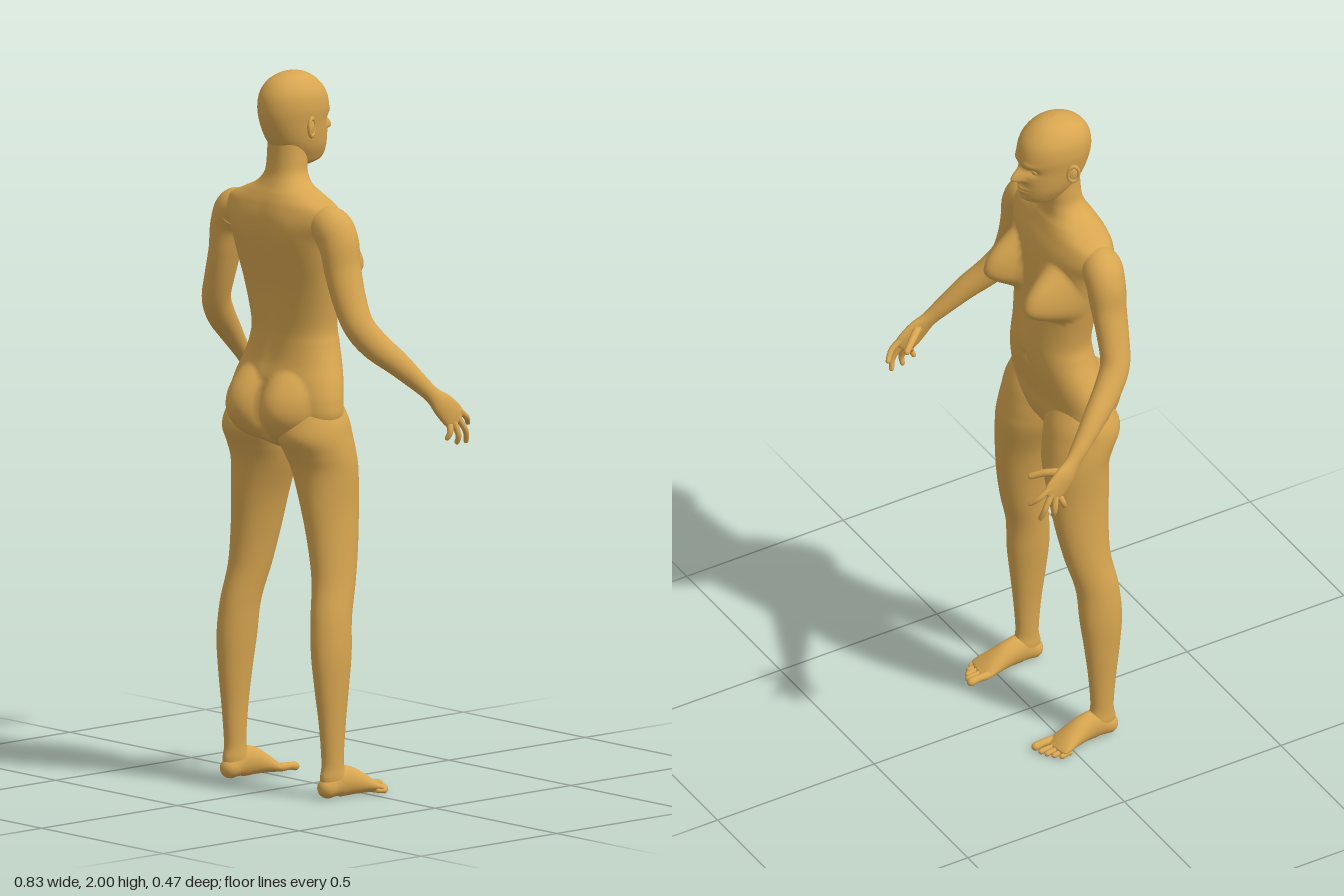
import * as THREE from 'three';

const V = (x, y, z) => new THREE.Vector3(x, y, z);
const skin = new THREE.MeshStandardMaterial({ color: 0xd8a650 });
skin.name = 'ochre skin';

// Catmull-Rom blend through rows of numbers, t from 0 to 1
function sample(rows, t) {
  const f = t * (rows.length - 1), i = Math.min(Math.floor(f), rows.length - 2), u = f - i;
  const at = k => rows[Math.max(0, Math.min(rows.length - 1, k))];
  const [a, b, c, d] = [at(i - 1), at(i), at(i + 1), at(i + 2)];
  return b.map((_, k) => 0.5 * (2 * b[k] + (c[k] - a[k]) * u
    + (2 * a[k] - 5 * b[k] + 4 * c[k] - d[k]) * u * u
    + (3 * b[k] - a[k] - 3 * c[k] + d[k]) * u * u * u));
}

// Closed smooth skin over a list of rings, faces turned outwards
function skinRings(rings) {
  const n = rings[0].length, m = rings.length;
  const pts = rings.flat();
  for (const r of [rings[0], rings[m - 1]]) {
    pts.push(r.reduce((s, p) => s.add(p), V(0, 0, 0)).divideScalar(n));
  }
  const idx = [];
  for (let j = 0; j < n; j++) {
    const k = (j + 1) % n;
    for (let i = 0; i < m - 1; i++) {
      const a = i * n + j, b = i * n + k;
      idx.push(a, b, b + n, a, b + n, a + n);
    }
    idx.push(m * n, k, j, m * n + 1, (m - 1) * n + j, (m - 1) * n + k);
  }
  let volume = 0;
  for (let i = 0; i < idx.length; i += 3) {
    volume += pts[idx[i]].dot(V(0, 0, 0).crossVectors(pts[idx[i + 1]], pts[idx[i + 2]]));
  }
  if (volume < 0) idx.reverse();
  const g = new THREE.BufferGeometry().setFromPoints(pts);
  g.setIndex(idx);
  g.computeVertexNormals();
  return g;
}

// Level ellipses from rows [y, centre x, half width, front z, back z], shaped by a rule
function levels(rows, steps, sides, shape = () => {}, power = 1) {
  const bend = c => Math.sign(c) * Math.abs(c) ** power;
  const rings = [];
  for (let i = 0; i <= steps; i++) {
    const [y, cx, w, zf, zb] = sample(rows, i / steps);
    rings.push(Array.from({ length: sides }, (_, j) => {
      const a = (j / sides) * Math.PI * 2, s = Math.sin(a);
      const p = V(cx + w * bend(Math.cos(a)), y, (zf + zb) / 2 + (zb - zf) / 2 * bend(s));
      shape(p, s);
      return p;
    }));
  }
  return skinRings(rings);
}

// Round-ended limb along rows [x, y, z, thin radius, wide radius]
function limb(rows, steps = 10, sides = 14) {
  const rings = [];
  const pos = t => V(...sample(rows, t).slice(0, 3));
  const ring = (t, cap) => {
    const [x, y, z, ru, rv] = sample(rows, t);
    const dir = pos(Math.min(1, t + 0.01)).sub(pos(Math.max(0, t - 0.01))).normalize();
    const wide = V(0, 0.7, -0.7);
    wide.addScaledVector(dir, -wide.dot(dir)).normalize();
    const thin = V(0, 0, 0).crossVectors(dir, wide);
    const c = V(x, y, z).addScaledVector(dir, Math.sin(cap) * Math.min(ru, rv));
    rings.push(Array.from({ length: sides }, (_, j) => {
      const a = (j / sides) * Math.PI * 2, k = Math.cos(cap);
      return c.clone().addScaledVector(thin, Math.cos(a) * ru * k).addScaledVector(wide, Math.sin(a) * rv * k);
    }));
  };
  for (const c of [-1.45, -1.1, -0.75, -0.4]) ring(0, c);
  for (let i = 0; i <= steps; i++) ring(i / steps, 0);
  for (const c of [0.4, 0.75, 1.1, 1.45]) ring(1, c);
  return skinRings(rings);
}

const bump = (x, y, cx, cy, sx, sy) => Math.exp(-(((x - cx) / sx) ** 2) - ((y - cy) / sy) ** 2);
const dome = (dx, dy, e) => Math.max(0, 1 - dx * dx - dy * dy) ** e;

// Chest, belly, seat and back relief on the trunk
function shapeTrunk(p, s) {
  const x = Math.abs(p.x), y = p.y;
  if (s < 0) {
    const chest = dome((x - 0.105) / 0.069, (y - 1.455) / (y > 1.455 ? 0.12 : 0.066), 1.25);
    p.z -= 0.094 * chest;
    p.x += Math.sign(p.x) * 0.008 * chest;
    p.z += 0.01 * bump(x, y, 0, 1.215, 0.01, 0.012) + 0.006 * bump(x, y, 0, 1.34, 0.015, 0.07);
  } else {
    p.z += 0.048 * dome((x - 0.078) / 0.085, (y - 1.07) / 0.11, 1);
    p.z -= 0.02 * bump(x, y, 0, 1.05, 0.014, 0.06) + 0.011 * bump(x, y, 0, 1.4, 0.025, 0.17);
    p.z += 0.006 * bump(x, y, 0.1, 1.56, 0.05, 0.06);
  }
}

// Nose, eye sockets, brow, lips and chin
function shapeFace(p, s) {
  if (s >= 0) return;
  const x = Math.abs(p.x), y = p.y;
  const bridge = y > 1.83 ? 1 - THREE.MathUtils.smoothstep(y, 1.83, 1.885) : THREE.MathUtils.smoothstep(y, 1.813, 1.83);
  p.z -= 0.034 * bridge * Math.exp(-((x / (0.009 + 0.006 * bridge)) ** 2));
  p.z += 0.014 * bump(x, y, 0.032, 1.86, 0.017, 0.011);
  p.z -= 0.005 * bump(x, y, 0.03, 1.884, 0.025, 0.009);
  p.z -= 0.01 * bump(x, y, 0, 1.793, 0.021, 0.011);
  p.z += 0.006 * bump(x, y, 0, 1.793, 0.022, 0.003);
  p.z -= 0.007 * bump(x, y, 0, 1.763, 0.02, 0.012);
}

export function createModel() {
  const model = new THREE.Group();
  model.name = 'figure';
  const add = (name, geometry) => {
    const mesh = new THREE.Mesh(geometry, skin);
    mesh.name = name;
    model.add(mesh);
  };
  // Left part at +x and its mirror image
  const pair = (name, geometry) => {
    add(name + 'Left', geometry);
    const other = geometry.clone().scale(-1, 1, 1);
    other.setIndex(Array.from(geometry.index.array).reverse());
    other.computeVertexNormals();
    add(name + 'Right', other);
  };

  // Trunk with neck
  add('trunk', levels([
    [0.955, 0, 0.03, 0.07, 0.12], [0.975, 0, 0.08, 0.04, 0.16], [1.0, 0, 0.15, 0.02, 0.18],
    [1.05, 0, 0.198, 0.005, 0.193], [1.1, 0, 0.2, 0, 0.193], [1.15, 0, 0.187, -0.01, 0.183],
    [1.2, 0, 0.167, -0.018, 0.166], [1.25, 0, 0.149, -0.022, 0.158], [1.3, 0, 0.141, -0.02, 0.158],
    [1.4, 0, 0.158, -0.008, 0.17], [1.48, 0, 0.174, -0.005, 0.188], [1.55, 0, 0.188, 0, 0.2],
    [1.6, 0, 0.208, 0.01, 0.2], [1.64, 0, 0.196, 0.025, 0.19], [1.667, 0, 0.14, 0.035, 0.178],
    [1.69, 0, 0.09, 0.044, 0.165], [1.72, 0, 0.063, 0.046, 0.153], [1.76, 0, 0.057, 0.045, 0.148],
    [1.82, 0, 0.055, 0.05, 0.145],
  ], 150, 96, shapeTrunk, 0.92));

  // Head with face
  add('head', levels([
    [1.738, 0, 0.028, 0.02, 0.08], [1.748, 0, 0.04, -0.012, 0.1], [1.765, 0, 0.05, -0.026, 0.12],
    [1.79, 0, 0.062, -0.03, 0.14], [1.82, 0, 0.07, -0.031, 0.16], [1.86, 0, 0.076, -0.031, 0.176],
    [1.9, 0, 0.081, -0.034, 0.182], [1.94, 0, 0.077, -0.023, 0.175], [1.972, 0, 0.06, 0.003, 0.152],
    [1.992, 0, 0.034, 0.035, 0.115], [2.0, 0, 0.003, 0.07, 0.077],
  ], 110, 112, shapeFace, 0.95));

  // Eyes
  pair('eye', new THREE.SphereGeometry(0.012, 16, 12).translate(0.032, 1.86, -0.003));

  // Ears: a flat shell with a raised rim
  pair('ear', new THREE.SphereGeometry(1, 16, 12).scale(0.008, 0.024, 0.016).rotateY(0.35).translate(0.083, 1.852, 0.083));
  pair('earRim', new THREE.TorusGeometry(0.018, 0.005, 8, 24).scale(0.85, 1.35, 1)
    .rotateY(Math.PI / 2 + 0.35).translate(0.088, 1.853, 0.084));

  // Legs
  pair('leg', levels([
    [1.12, 0.1, 0.07, 0.03, 0.15], [1.05, 0.108, 0.095, 0, 0.188], [1.0, 0.112, 0.101, -0.012, 0.203],
    [0.95, 0.118, 0.098, -0.02, 0.18], [0.9, 0.125, 0.09, -0.025, 0.162], [0.8, 0.143, 0.069, -0.02, 0.155],
    [0.7, 0.158, 0.058, -0.008, 0.147], [0.6, 0.172, 0.052, 0.012, 0.146], [0.5, 0.186, 0.049, 0.038, 0.163],
    [0.4, 0.194, 0.046, 0.045, 0.17], [0.3, 0.198, 0.038, 0.057, 0.162], [0.2, 0.2, 0.03, 0.068, 0.15],
    [0.1, 0.2, 0.026, 0.074, 0.142], [0.06, 0.2, 0.028, 0.06, 0.148], [0.03, 0.2, 0.026, 0.06, 0.145],
  ], 90, 40));

  // Feet and toes
  pair('foot', limb([
    [0.2, 0.031, 0.126, 0.029, 0.029], [0.2, 0.045, 0.09, 0.03, 0.043], [0.2, 0.042, 0.05, 0.032, 0.04],
    [0.202, 0.031, 0.01, 0.038, 0.029], [0.205, 0.02, -0.022, 0.044, 0.018], [0.207, 0.014, -0.038, 0.043, 0.012],
  ], 30, 32));
  [[0.172, -0.087, 0.012], [0.195, -0.083, 0.008], [0.212, -0.074, 0.008],
    [0.228, -0.061, 0.0075], [0.243, -0.045, 0.0075]].forEach(([x, z, r], i) => {
    pair('toe' + (i + 1), limb([
      [x, r + 0.004, Math.min(-0.02, z + 0.05), r, r], [x, r + 0.004, z + 0.02, r * 0.9, r * 0.9], [x, r + 0.001, z, r, r],
    ]));
  });

  // Arms with palms
  pair('arm', limb([
    [0.15, 1.6, 0.115, 0.045, 0.045], [0.195, 1.592, 0.11, 0.056, 0.058], [0.224, 1.55, 0.107, 0.051, 0.057],
    [0.24, 1.48, 0.107, 0.043, 0.053], [0.265, 1.4, 0.105, 0.04, 0.048], [0.292, 1.33, 0.095, 0.038, 0.044],
    [0.316, 1.275, 0.058, 0.036, 0.042], [0.345, 1.22, 0, 0.031, 0.035], [0.37, 1.16, -0.06, 0.024, 0.026],
    [0.383, 1.125, -0.095, 0.018, 0.024], [0.392, 1.095, -0.125, 0.016, 0.034],
    [0.396, 1.065, -0.155, 0.013, 0.037], [0.398, 1.05, -0.17, 0.01, 0.033],
  ], 80, 32));

  // Fingers and thumb: base, middle and tip
  const fingers = {
    thumb: [[0.388, 1.105, -0.125], [0.355, 1.098, -0.165], [0.331, 1.083, -0.197]],
    indexFinger: [[0.397, 1.075, -0.178], [0.395, 1.053, -0.208], [0.38, 1.032, -0.228]],
    middleFinger: [[0.399, 1.057, -0.172], [0.406, 1.018, -0.196], [0.398, 0.986, -0.206]],
    ringFinger: [[0.4, 1.042, -0.16], [0.409, 1.008, -0.168], [0.403, 0.988, -0.168]],
    littleFinger: [[0.399, 1.035, -0.145], [0.407, 1.018, -0.139], [0.402, 1.003, -0.133]],
  };
  for (const [name, pts] of Object.entries(fingers)) {
    const r = name === 'thumb' ? 0.012 : 0.0095;
    pair(name, limb(pts.map((p, i) => [...p, r * (1 - i * 0.13), r * (1 - i * 0.13)])));
  }
  return model;
}
